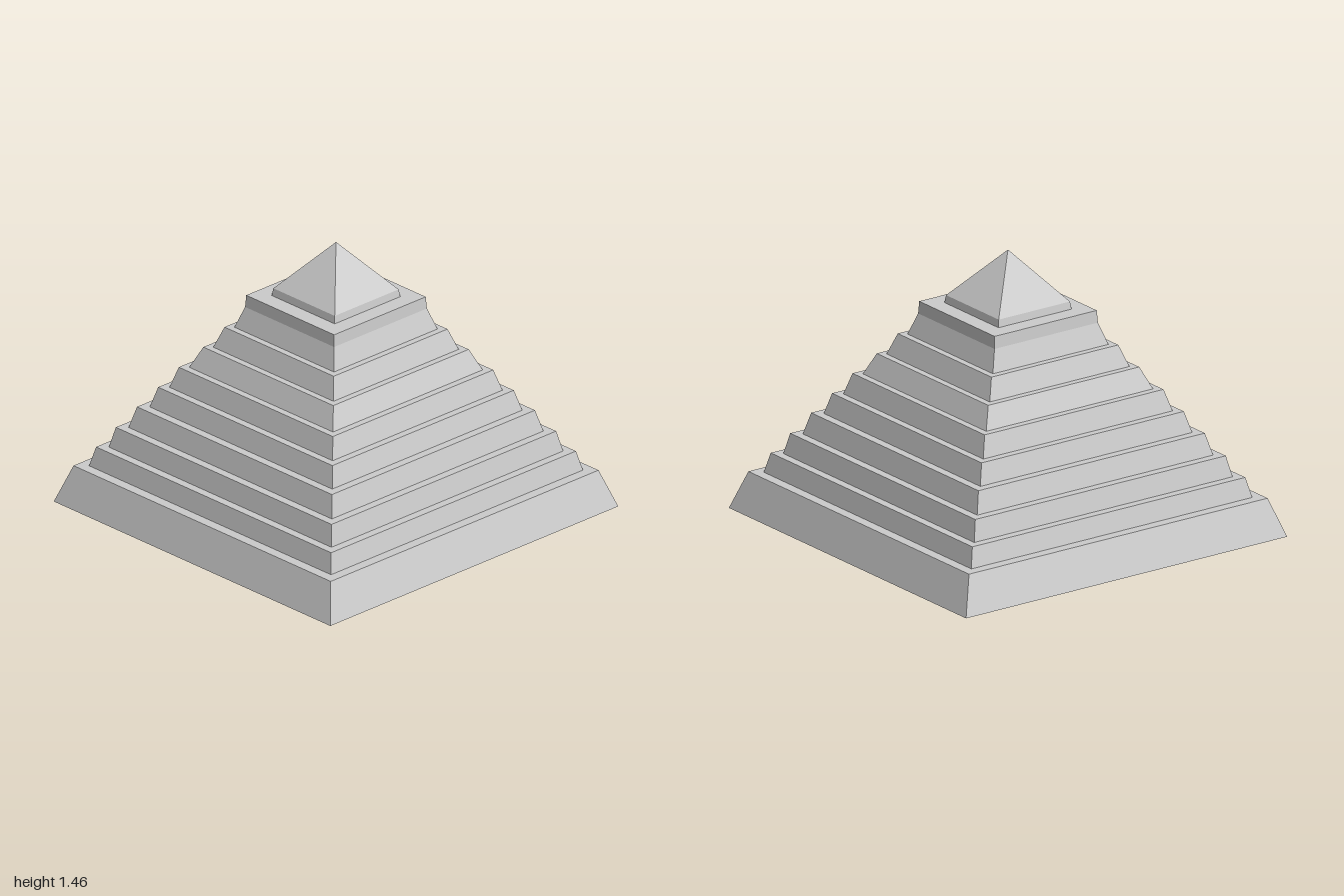
import * as THREE from 'three';

const material = new THREE.MeshStandardMaterial({ color: 0xcccccc, flatShading: true });

// Square block with sloping sides; half-widths at the bottom and top
function squareBlock(name, bottom, top, y0, y1) {
  const geometry = new THREE.CylinderGeometry(top * Math.SQRT2, bottom * Math.SQRT2, y1 - y0, 4);
  geometry.rotateY(Math.PI / 4);
  geometry.translate(0, (y0 + y1) / 2, 0);
  const mesh = new THREE.Mesh(geometry, material);
  mesh.name = name;
  return mesh;
}

export function createModel() {
  const model = new THREE.Group();
  model.name = 'steppedPyramid';

  // Stacked terraces: bottom half-width, top half-width, top height
  const terraces = [
    [1.0, 0.93, 0.2],
    [0.875, 0.85, 0.305],
    [0.805, 0.78, 0.415],
    [0.735, 0.705, 0.53],
    [0.66, 0.63, 0.64],
    [0.59, 0.557, 0.752],
    [0.52, 0.47, 0.865],
    [0.435, 0.395, 0.977],
    [0.36, 0.322, 1.09],
  ];
  let y = 0;
  terraces.forEach(([bottom, top, height], i) => {
    model.add(squareBlock(i === 0 ? 'base' : `terrace${i}`, bottom, top, y, height));
    y = height;
  });

  // Upright band around the top platform
  model.add(squareBlock('topPlatform', 0.322, 0.318, 1.09, 1.155));

  // Plinth and pointed capstone
  model.add(squareBlock('capPlinth', 0.228, 0.222, 1.155, 1.195));
  model.add(squareBlock('capstone', 0.222, 0, 1.195, 1.455));

  return model;
}
